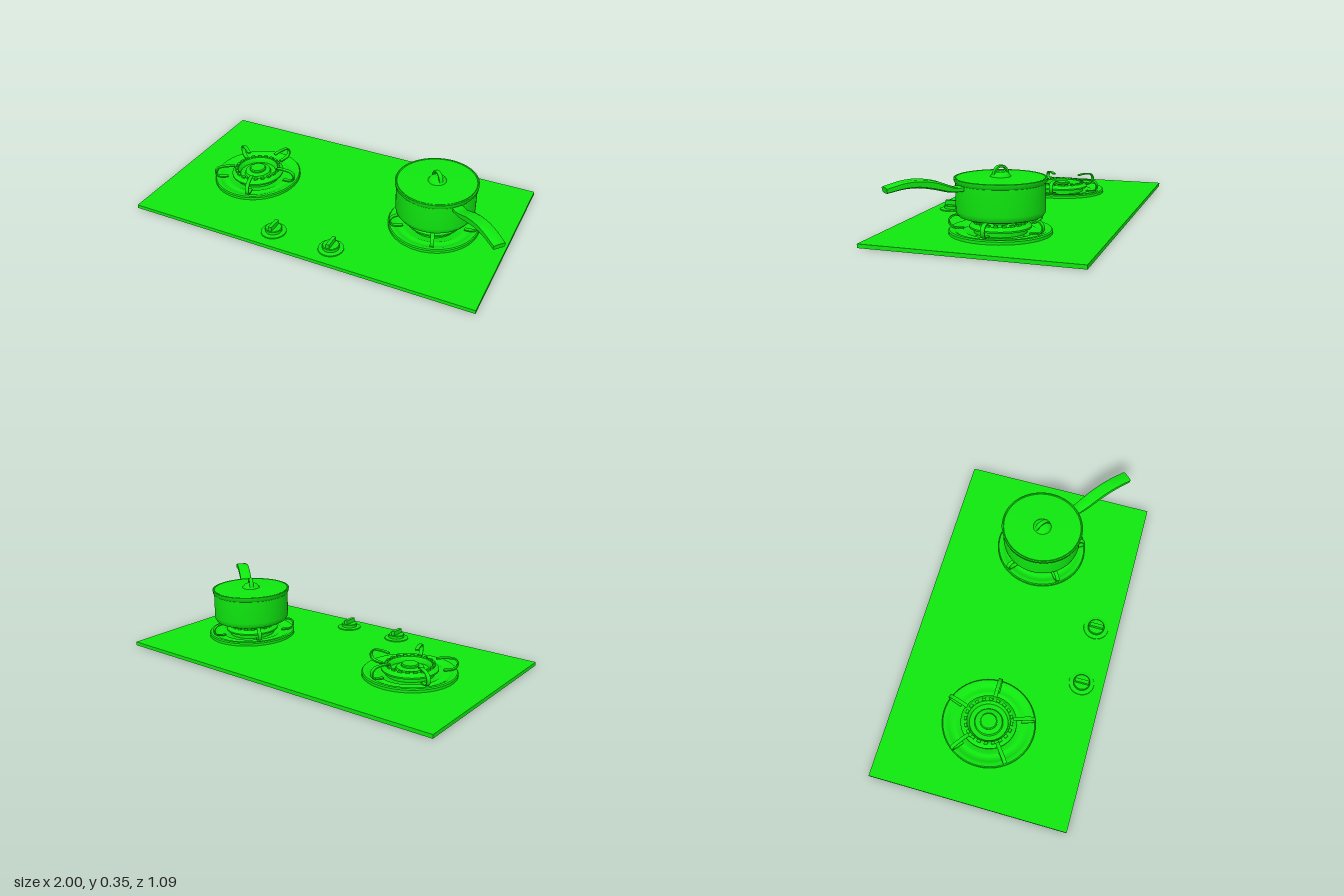
import * as THREE from 'three';
import { toCreasedNormals } from 'three/addons/utils/BufferGeometryUtils.js';

const green = new THREE.MeshStandardMaterial({ color: 0x0fe80f, side: THREE.DoubleSide });
const Z_STRETCH = 1.05; // round parts are slightly longer front to back

function add(parent, name, geometry, x = 0, y = 0, z = 0) {
  const mesh = new THREE.Mesh(geometry, green);
  mesh.name = name;
  mesh.position.set(x, y, z);
  parent.add(mesh);
  return mesh;
}

// Profile of [radius, height] pairs, listed from the bottom up
function turned(profile, segments = 64) {
  const points = profile.map(([r, y]) => new THREE.Vector2(r, y));
  return toCreasedNormals(new THREE.LatheGeometry(points, segments), 0.6);
}

// Rectangular bar swept along stations [radius, height, width, thickness] in the x-y plane
function sweptBar(stations, bevel = 0.2) {
  const curve = new THREE.CatmullRomCurve3(stations.map(([r, y]) => new THREE.Vector3(r, y, 0)));
  const sizes = new THREE.CatmullRomCurve3(stations.map(([, , w, t]) => new THREE.Vector3(w, t, 0)));
  const steps = 28, b = 1 - bevel;
  const section = [[-1, -b], [-b, -1], [b, -1], [1, -b], [1, b], [b, 1], [-b, 1], [-1, b]];
  const n = section.length, pos = [], idx = [];
  for (let i = 0; i <= steps; i++) {
    const p = curve.getPoint(i / steps), t = curve.getTangent(i / steps), s = sizes.getPoint(i / steps);
    for (const [u, v] of section) {
      const h = v * s.y / 2;
      pos.push(p.x - t.y * h, p.y + t.x * h, u * s.x / 2);
    }
  }
  for (let i = 0; i < steps; i++) {
    for (let j = 0; j < n; j++) {
      const a = i * n + j, c = i * n + (j + 1) % n;
      idx.push(a, a + n, c, c, a + n, c + n);
    }
  }
  for (let j = 1; j < n - 1; j++) {
    const e = steps * n;
    idx.push(0, j, j + 1, e, e + j + 1, e + j);
  }
  const g = new THREE.BufferGeometry();
  g.setAttribute('position', new THREE.Float32BufferAttribute(pos, 3));
  g.setIndex(idx);
  return toCreasedNormals(g, 0.5);
}

function createBurner(x) {
  const burner = new THREE.Group();
  burner.name = 'burner';
  burner.position.set(x, 0, -0.008);
  burner.scale.z = Z_STRETCH;

  add(burner, 'dripPan', turned([
    [0.243, 0.02], [0.243, 0.034], [0.238, 0.04], [0.222, 0.04], [0.212, 0.035],
    [0.2, 0.028], [0.185, 0.026], [0.175, 0.03], [0.165, 0.03], [0.155, 0.024], [0, 0.024],
  ]));
  add(burner, 'burnerHead', turned([
    [0.125, 0.022], [0.125, 0.044], [0.146, 0.048], [0.146, 0.056], [0.134, 0.068], [0.128, 0.072],
    [0.112, 0.072], [0.104, 0.064], [0.1, 0.045], [0.075, 0.045], [0.07, 0.06], [0.05, 0.066], [0, 0.066],
  ]));
  add(burner, 'burnerCap', turned([
    [0.045, 0.06], [0.045, 0.074], [0.04, 0.079], [0, 0.079],
  ], 40));

  // Small teeth around the flame ring
  const toothGeometry = new THREE.BoxGeometry(0.014, 0.01, 0.02);
  for (let i = 0; i < 20; i++) {
    const a = (i + 0.5) / 20 * Math.PI * 2;
    const tooth = add(burner, 'flameTooth', toothGeometry, Math.cos(a) * 0.12, 0.076, Math.sin(a) * 0.12);
    tooth.rotation.y = -a;
  }

  // Five C-shaped pan supports
  const armGeometry = sweptBar([
    [0.13, 0.102], [0.15, 0.106], [0.2, 0.106], [0.225, 0.1], [0.239, 0.082],
    [0.236, 0.06], [0.222, 0.047], [0.2, 0.042], [0.17, 0.04],
  ].map(([r, y]) => [r, y, 0.02, 0.008]));
  for (let i = 0; i < 5; i++) {
    add(burner, 'panSupport', armGeometry).rotation.y = i / 5 * Math.PI * 2;
  }
  return burner;
}

function createPot() {
  const pot = new THREE.Group();
  pot.name = 'pot';
  pot.position.set(0.537, 0, -0.01);

  const body = new THREE.Group();
  body.name = 'potBody';
  body.scale.z = Z_STRETCH;
  pot.add(body);
  add(body, 'potWall', turned([
    [0, 0.105], [0.185, 0.105], [0.198, 0.11], [0.207, 0.124], [0.209, 0.14], [0.209, 0.268],
    [0.215, 0.276], [0.217, 0.293], [0.211, 0.295], [0.206, 0.29],
  ], 80));
  add(body, 'lid', turned([[0.207, 0.288], [0.206, 0.293], [0.1, 0.296], [0, 0.297]], 80));
  add(body, 'lidKnobBase', turned([
    [0.049, 0.294], [0.047, 0.3], [0.036, 0.315], [0.03, 0.318], [0, 0.318],
  ], 40));

  // Arched lid grip and long handle share the same diagonal
  const diagonal = new THREE.Group();
  diagonal.name = 'handles';
  diagonal.rotation.y = -41 * Math.PI / 180;
  pot.add(diagonal);
  add(diagonal, 'lidGrip', sweptBar([
    [-0.037, 0.3, 0.022, 0.013], [-0.034, 0.322, 0.022, 0.013], [-0.02, 0.34, 0.022, 0.013],
    [0, 0.346, 0.022, 0.013], [0.02, 0.34, 0.022, 0.013], [0.034, 0.322, 0.022, 0.013],
    [0.037, 0.3, 0.022, 0.013],
  ], 0.4));
  add(diagonal, 'panHandle', sweptBar([
    [0.19, 0.258, 0.06, 0.024], [0.25, 0.258, 0.06, 0.025], [0.29, 0.268, 0.064, 0.034],
    [0.35, 0.288, 0.066, 0.04], [0.43, 0.303, 0.066, 0.038], [0.5, 0.302, 0.066, 0.034],
    [0.584, 0.287, 0.064, 0.028],
  ], 0.35));
  return pot;
}

function createKnob(x) {
  const knob = new THREE.Group();
  knob.name = 'controlKnob';
  knob.position.set(x, 0, 0.422);
  knob.scale.z = Z_STRETCH;
  add(knob, 'knobPlate', turned([[0.067, 0.02], [0.066, 0.025], [0.05, 0.028], [0, 0.028]], 40));
  add(knob, 'knobBody', turned([[0.044, 0.026], [0.044, 0.043], [0.041, 0.046], [0, 0.046]], 40));
  add(knob, 'knobGrip', new THREE.BoxGeometry(0.019, 0.028, 0.074), 0, 0.056, 0);
  return knob;
}

export function createModel() {
  const model = new THREE.Group();
  model.name = 'cooktop';
  add(model, 'glassPlate', new THREE.BoxGeometry(1.946, 0.02, 1.088), -0.027, 0.01, 0);
  model.add(createBurner(-0.555), createBurner(0.537));
  model.add(createKnob(-0.2), createKnob(0.137));
  model.add(createPot());
  return model;
}
